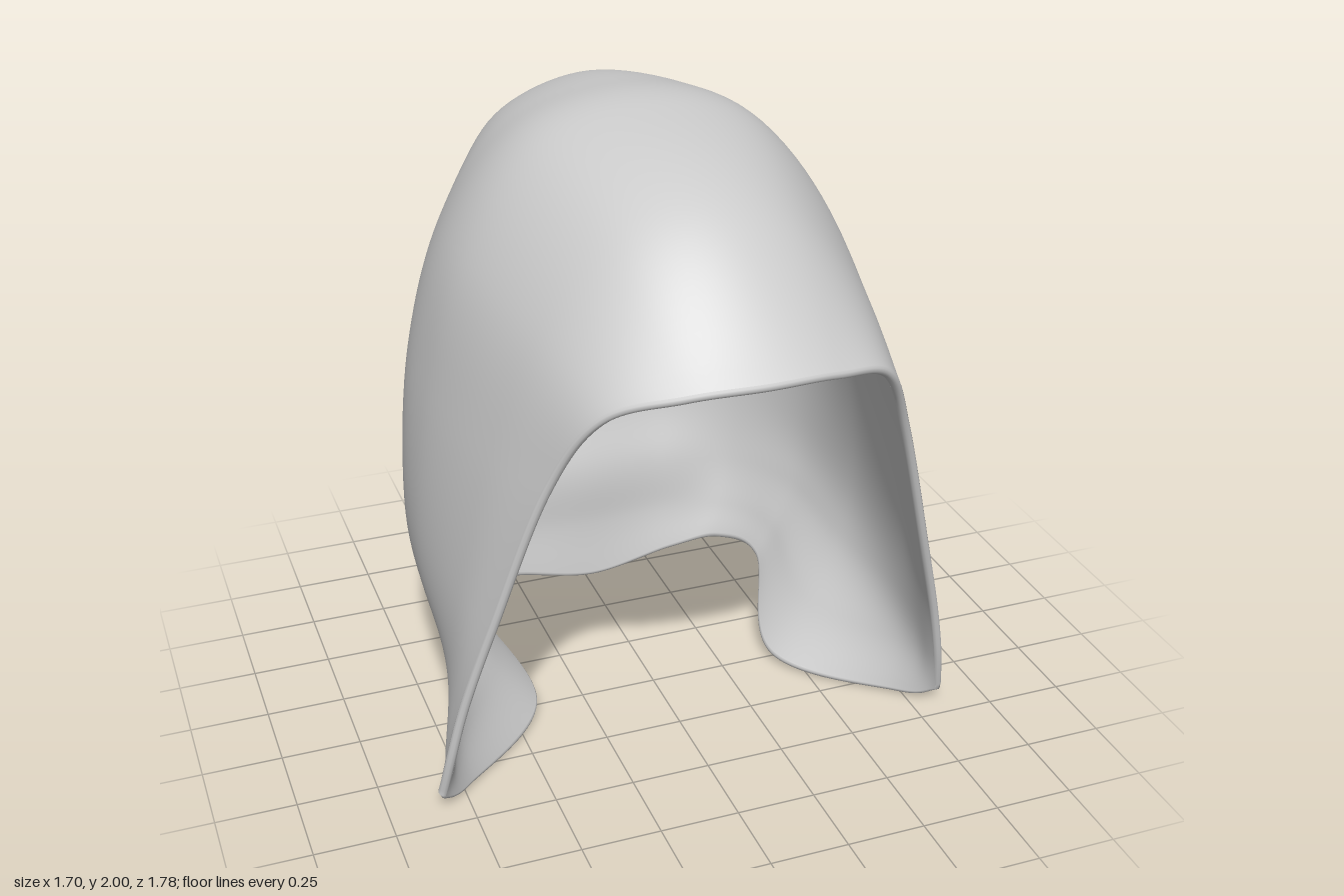
import * as THREE from 'three';

// Left-half cross-sections, each from the lower hem up to the centre line
const frontOpening = [[.845, .06, .415], [.825, .21, .455], [.78, .42, .49], [.70, .70, .545], [.56, 1.16, .64], [.43, 1.415, .75], [.22, 1.49, .85], [0, 1.505, .885]];
const frontFlap = [[.75, .015, .33], [.78, .19, .32], [.77, .40, .32], [.735, .70, .34], [.635, 1.15, .37], [.50, 1.52, .41], [.27, 1.77, .45], [0, 1.85, .47]];
const side = [[.44, .025, .02], [.575, .19, -.01], [.72, .39, -.04], [.765, .67, -.06], [.705, 1.17, -.07], [.585, 1.60, -.05], [.34, 1.905, -.04], [0, 1.99, -.02]];
const rearSide = [[.54, .185, -.34], [.60, .28, -.36], [.68, .44, -.38], [.715, .68, -.40], [.68, 1.16, -.40], [.56, 1.58, -.39], [.335, 1.885, -.37], [0, 1.988, -.33]];
const rearCorner = [[.46, .18, -.55], [.50, .285, -.575], [.53, .45, -.61], [.55, .70, -.63], [.50, 1.13, -.67], [.435, 1.51, -.66], [.29, 1.795, -.68], [0, 1.925, -.63]];
const rearInner = [[.29, .13, -.63], [.285, .27, -.665], [.285, .45, -.685], [.30, .70, -.745], [.285, 1.10, -.765], [.275, 1.42, -.785], [.165, 1.665, -.835], [0, 1.775, -.862]];
const centreBack = [[0, .065, -.655], [0, .25, -.68], [0, .45, -.69], [0, .70, -.76], [0, 1.08, -.80], [0, 1.38, -.828], [0, 1.60, -.872], [0, 1.68, -.887]];
const sections = [frontOpening, frontFlap, side, rearSide, rearCorner, rearInner, centreBack];

const N = 72; // steps from the front opening to the centre back
const M = 70; // steps from the hem to the centre line
const THICK = 0.03;

const mirror = (p) => new THREE.Vector3(-p.x, p.y, p.z);

// Smooth curve through the points and their mirror images
function mirroredCurve(points) {
  const other = points.slice(0, -1).reverse().map(mirror);
  return new THREE.CatmullRomCurve3([...points, ...other], false, 'catmullrom', 0.5);
}

// The two halves share the vertices of the centre line on top
const vertexIndex = (i, j) => j * (2 * N + 1) + (j === M && i > N ? 2 * N - i : i);

function clothGeometry() {
  const arches = sections.map((s) => mirroredCurve(s.map((p) => new THREE.Vector3(...p))));
  const pos = [], index = [];
  for (let j = 0; j <= M; j++) {
    const row = mirroredCurve(arches.map((a) => a.getPoint(j / M / 2)));
    for (let i = 0; i <= 2 * N; i++) pos.push(...row.getPoint(i / (2 * N)).toArray());
  }
  for (let j = 0; j < M; j++) {
    for (let i = 0; i < 2 * N; i++) {
      const a = vertexIndex(i, j), b = vertexIndex(i + 1, j);
      const c = vertexIndex(i + 1, j + 1), d = vertexIndex(i, j + 1);
      index.push(a, b, c, a, c, d);
    }
  }
  const geo = new THREE.BufferGeometry();
  geo.setAttribute('position', new THREE.Float32BufferAttribute(pos, 3));
  geo.setIndex(index);
  geo.computeVertexNormals();
  return geo;
}

// Copy of the cloth moved inwards and turned inside out
function liningGeometry(outer) {
  const geo = outer.clone();
  const p = geo.attributes.position, n = outer.attributes.normal;
  for (let k = 0; k < p.count; k++) {
    p.setXYZ(k, p.getX(k) - n.getX(k) * THICK, p.getY(k) - n.getY(k) * THICK, p.getZ(k) - n.getZ(k) * THICK);
  }
  geo.setIndex([...outer.index.array].reverse());
  geo.computeVertexNormals();
  return geo;
}

// Rounded edge that joins cloth and lining along the opening and the hem
function rimGeometry(outer, inner) {
  const loop = [];
  const add = (i, j) => {
    const k = vertexIndex(i, j);
    const a = new THREE.Vector3().fromBufferAttribute(outer.attributes.position, k);
    loop.push(a.lerp(new THREE.Vector3().fromBufferAttribute(inner.attributes.position, k), 0.5));
  };
  for (let i = 0; i < 2 * N; i++) add(i, 0);
  for (let j = 0; j < M; j++) add(2 * N, j);
  for (let j = M; j > 0; j--) add(0, j);
  return new THREE.TubeGeometry(new THREE.CatmullRomCurve3(loop, true), 400, THICK / 2, 10, true);
}

export function createModel() {
  const hood = new THREE.Group();
  hood.name = 'hood';
  const material = new THREE.MeshStandardMaterial({ color: 0xcccccc, side: THREE.DoubleSide });
  const add = (name, geometry) => {
    const mesh = new THREE.Mesh(geometry, material);
    mesh.name = name;
    hood.add(mesh);
  };
  const outer = clothGeometry();
  const inner = liningGeometry(outer);
  add('outerCloth', outer);
  add('lining', inner);
  add('rim', rimGeometry(outer, inner));
  return hood;
}
